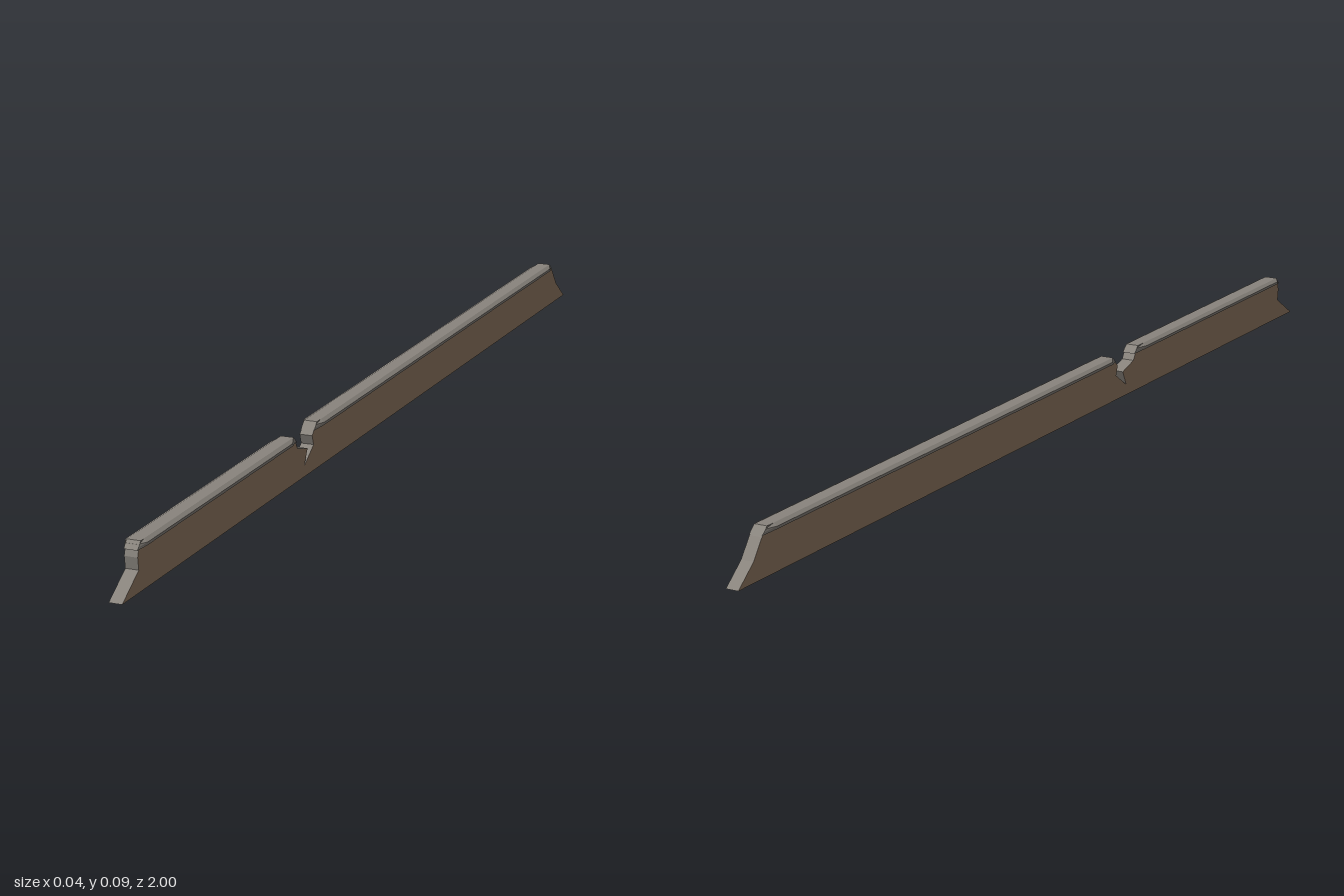
import * as THREE from 'three';

const HALF = 0.012;   // half thickness of the wall
const OVER = 0.02;    // half width of the coping

const plaster = new THREE.MeshStandardMaterial({ color: 0x9b8169, flatShading: true });
plaster.name = 'brown plaster';
const stone = new THREE.MeshStandardMaterial({ color: 0x8a857e, flatShading: true });
stone.name = 'grey stone';

// Wall body: side outline (z, y) with sloped ends and a broken notch
function wallBody() {
  const outline = [
    [-1, 0], [1, 0], [0.94, 0.038], [0.943, 0.06], [0.937, 0.08],
    [0.337, 0.08], [0.325, 0.06], [0.283, 0.048], [0.297, 0.02],
    [0.257, 0.047], [0.263, 0.065], [0.247, 0.08],
    [-0.918, 0.08], [-0.93, 0.07], [-0.955, 0.036],
  ];
  const shape = new THREE.Shape(outline.map(([z, y]) => new THREE.Vector2(z, y)));
  const geo = new THREE.ExtrudeGeometry(shape, { depth: HALF * 2, bevelEnabled: false });
  geo.translate(0, 0, -HALF).rotateY(-Math.PI / 2);

  // Brown on the long faces and underside, bare stone on the broken edges
  geo.clearGroups();
  const n = geo.attributes.normal;
  for (let i = 0; i < n.count; i += 3) {
    const brown = Math.abs(n.getX(i)) > 0.9 || n.getY(i) < -0.99;
    geo.addGroup(i, 3, brown ? 0 : 1);
  }
  const mesh = new THREE.Mesh(geo, [plaster, stone]);
  mesh.name = 'wallBody';
  return mesh;
}

// Coping: eight-sided section lofted along z, tapering at both ends.
// Each station is [z at bottom, z at top, half width]
function coping(name, stations) {
  const rings = stations.map(([zb, zt, w]) => {
    const side = [[HALF, 0.072], [w, 0.076], [w, 0.081], [HALF, 0.085]];
    const ring = [...side, ...side.slice().reverse().map(([x, y]) => [-x, y])];
    return ring.map(([x, y]) => [x, y, zb + (zt - zb) * (y - 0.072) / 0.013]);
  });
  const pos = [];
  const tri = (...pts) => pts.forEach((p) => pos.push(...p));
  for (let s = 0; s < rings.length - 1; s++) {
    for (let i = 0; i < 8; i++) {
      const j = (i + 1) % 8;
      const a = rings[s][i], b = rings[s][j], c = rings[s + 1][j], d = rings[s + 1][i];
      tri(a, d, c);
      tri(a, c, b);
    }
  }
  const first = rings[0], last = rings[rings.length - 1];
  for (let i = 1; i < 7; i++) {
    tri(first[0], first[i], first[i + 1]);
    tri(last[0], last[i + 1], last[i]);
  }
  const geo = new THREE.BufferGeometry();
  geo.setAttribute('position', new THREE.Float32BufferAttribute(pos, 3));
  geo.computeVertexNormals();
  const mesh = new THREE.Mesh(geo, stone);
  mesh.name = name;
  return mesh;
}

export function createModel() {
  const group = new THREE.Group();
  group.name = 'brokenWall';
  group.add(
    wallBody(),
    coping('frontCoping', [
      [0.944, 0.932, 0.0125], [0.926, 0.92, OVER], [0.36, 0.365, OVER], [0.328, 0.342, 0.0125],
    ]),
    coping('rearCoping', [
      [0.257, 0.243, 0.0125], [0.232, 0.225, OVER], [-0.9, -0.895, OVER], [-0.93, -0.915, 0.0125],
    ]),
  );
  return group;
}
